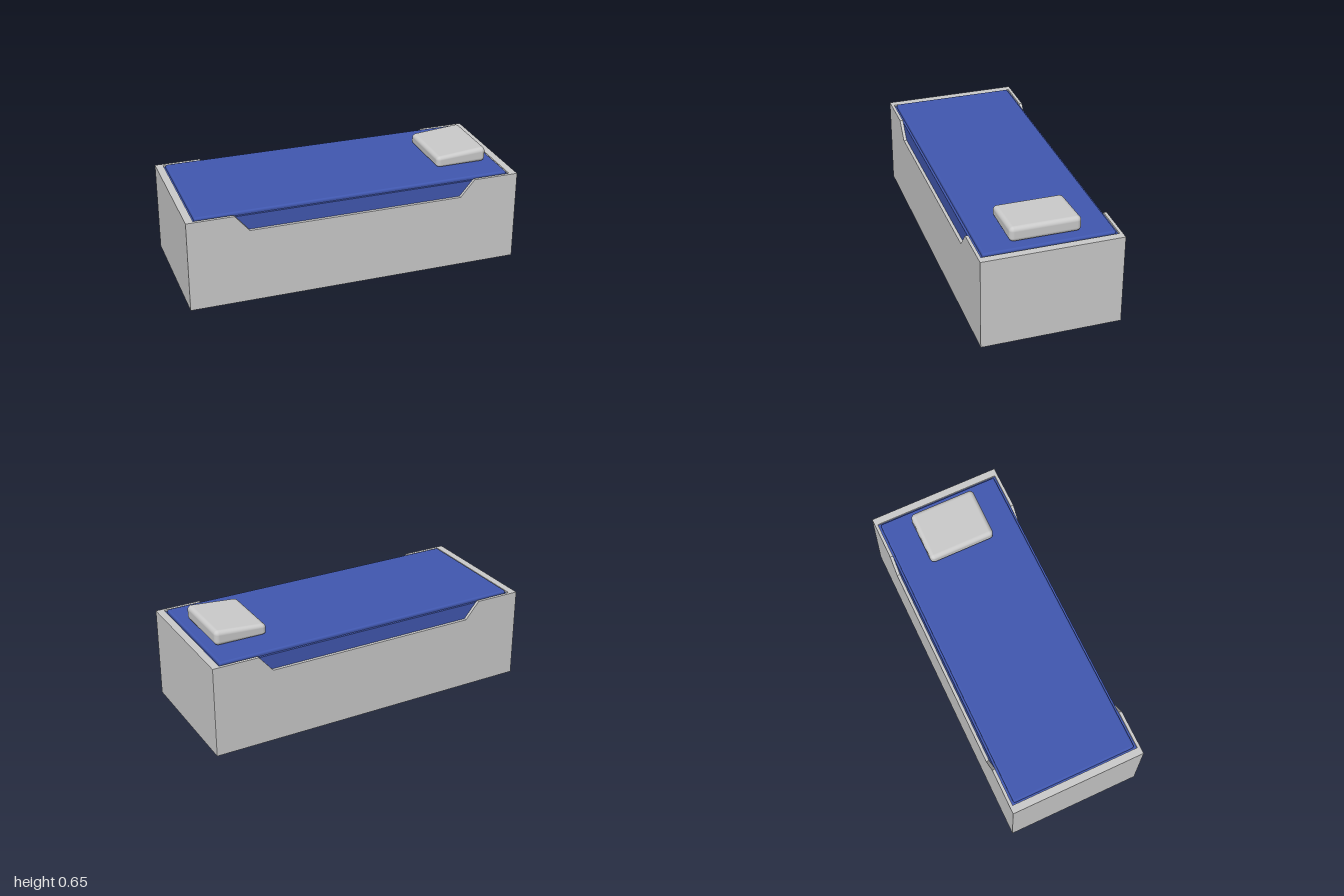
import * as THREE from 'three';
import { RoundedBoxGeometry } from 'three/addons/geometries/RoundedBoxGeometry.js';

const W = 2, H = 0.548, D = 0.818;   // outer frame
const END = 0.045, SIDE = 0.018;     // wall thicknesses

export function createModel() {
  const model = new THREE.Group();
  const grey = new THREE.MeshStandardMaterial({ color: 0xcccccc });
  const blue = new THREE.MeshStandardMaterial({ color: 0x4158b0 });

  function add(parent, name, geometry, material, x, y, z) {
    const mesh = new THREE.Mesh(geometry, material);
    mesh.name = name;
    mesh.position.set(x, y, z);
    parent.add(mesh);
    return mesh;
  }

  // Box frame: base, two end walls and two notched side walls
  const frame = new THREE.Group();
  frame.name = 'frame';
  model.add(frame);

  const innerW = W - 2 * END, innerD = D - 2 * SIDE;
  add(frame, 'base', new THREE.BoxGeometry(innerW, 0.3, innerD), grey, 0, 0.15, 0);

  const sidePanel = new THREE.Shape([
    [-1, 0], [1, 0], [1, H], [0.725, H], [0.64, 0.447],
    [-0.64, 0.447], [-0.725, H], [-1, H],
  ].map(([x, y]) => new THREE.Vector2(x, y)));
  const sideGeometry = new THREE.ExtrudeGeometry(sidePanel, { depth: SIDE, bevelEnabled: false });
  add(frame, 'frontPanel', sideGeometry, grey, 0, 0, D / 2 - SIDE);
  add(frame, 'backPanel', sideGeometry, grey, 0, 0, -D / 2);

  const endGeometry = new THREE.BoxGeometry(END, H, innerD);
  for (const s of [1, -1]) {
    add(frame, s > 0 ? 'leftEndPanel' : 'rightEndPanel', endGeometry, grey, s * (W - END) / 2, H / 2, 0);
  }

  // Mattress fills the frame, with a slightly smaller rounded top pad
  add(model, 'mattress', new THREE.BoxGeometry(innerW, 0.237, innerD), blue, 0, 0.4185, 0);
  add(model, 'mattressTop', new RoundedBoxGeometry(1.888, 0.06, 0.756, 3, 0.012), blue, 0, 0.528, 0);

  // Wedge pillow: rounded block whose height grows towards the head end
  const length = 0.316, height = 0.092;
  const pillow = new RoundedBoxGeometry(length, height, 0.41, 4, 0.027);
  const p = pillow.attributes.position;
  for (let i = 0; i < p.count; i++) {
    const t = p.getX(i) / length + 0.5;
    p.setY(i, (p.getY(i) + height / 2) * (0.7 + 0.3 * t));
  }
  add(model, 'pillow', pillow, grey, 0.73, 0.557, 0.004);

  return model;
}
